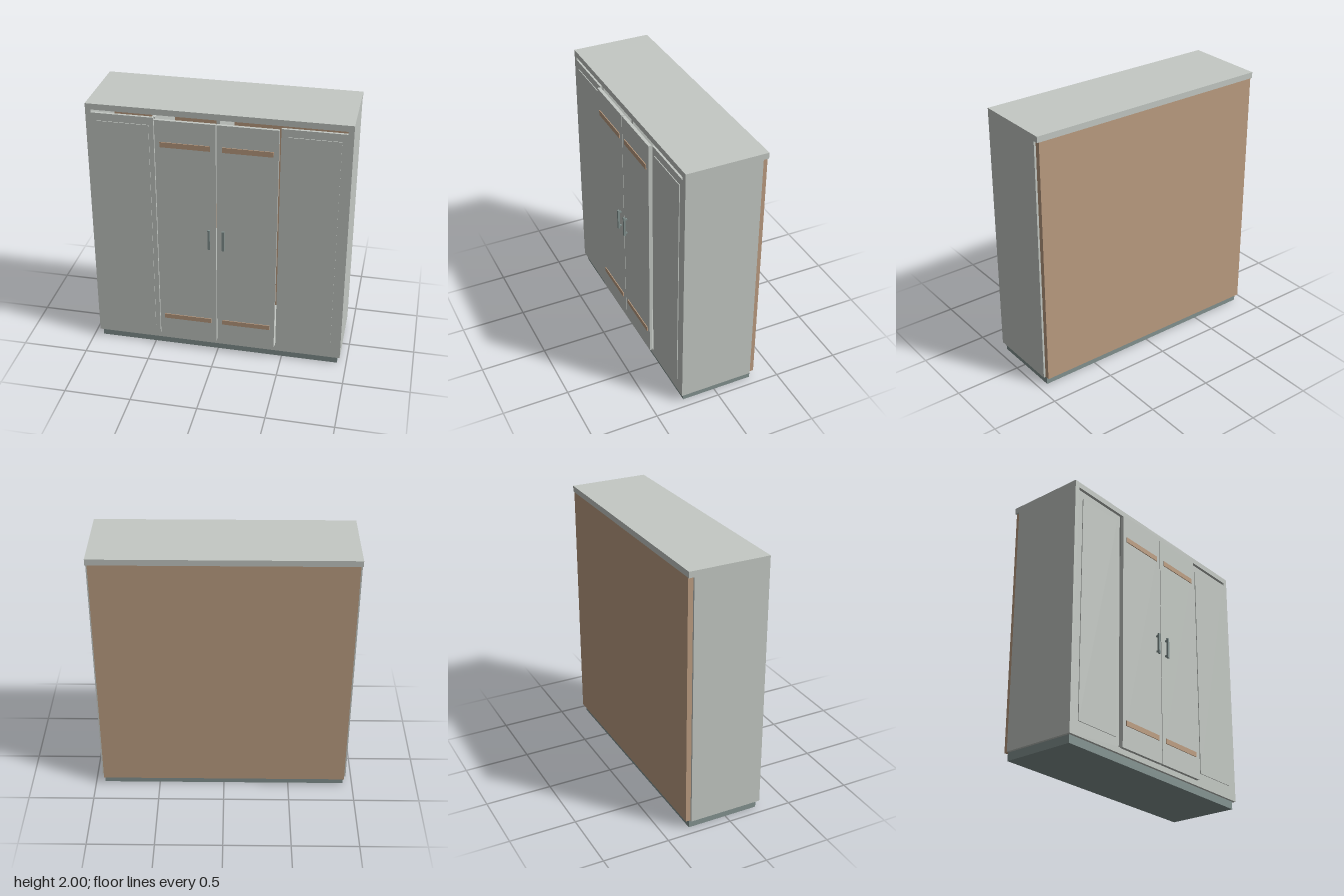
import * as THREE from 'three';

export function createModel() {
  const model = new THREE.Group();
  const mat = (name, color) => {
    const m = new THREE.MeshStandardMaterial({ color });
    m.name = name;
    return m;
  };
  const grey = mat('paleGrey', 0xc4c9c4);
  const teal = mat('slateTeal', 0x849391);
  const wood = mat('lightWood', 0xbd9e82);

  // Box given by its minimum and maximum corners
  const box = (name, material, x0, x1, y0, y1, z0, z1) => {
    const mesh = new THREE.Mesh(new THREE.BoxGeometry(x1 - x0, y1 - y0, z1 - z0), material);
    mesh.position.set((x0 + x1) / 2, (y0 + y1) / 2, (z0 + z1) / 2);
    mesh.name = name;
    model.add(mesh);
    return mesh;
  };

  // Carcass
  box('plinth', teal, -0.93, 0.93, 0, 0.06, -0.3, 0.255);
  box('floor', grey, -0.93, 0.93, 0.06, 0.09, -0.29, 0.255);
  box('top', grey, -0.95, 0.95, 1.955, 2, -0.33, 0.255);
  box('backPanel', wood, -0.935, 0.935, 0.062, 1.955, -0.328, -0.29);
  for (const s of [-1, 1]) {
    const x = s * 0.935;
    box(s > 0 ? 'leftSide' : 'rightSide', grey, x - 0.015, x + 0.015, 0.06, 1.955, -0.29, 0.255);
  }
  box('centreDivider', grey, -0.012, 0.012, 0.09, 1.93, -0.29, 0.22);
  box('rightDivider', grey, -0.47, -0.446, 0.09, 1.93, -0.29, 0.25);

  // Front frame: one opening for the doors, widening into a slot at the top
  const frame = new THREE.Shape();
  [[-0.95, 0.06], [0.95, 0.06], [0.95, 2], [-0.95, 2]]
    .forEach(([x, y], i) => (i ? frame.lineTo(x, y) : frame.moveTo(x, y)));
  const opening = new THREE.Path();
  [[-0.455, 0.105], [-0.455, 1.933], [-0.91, 1.933], [-0.91, 1.955],
    [0.91, 1.955], [0.91, 1.933], [0.452, 1.933], [0.452, 0.105]]
    .forEach(([x, y], i) => (i ? opening.lineTo(x, y) : opening.moveTo(x, y)));
  opening.closePath();
  frame.holes.push(opening);
  const front = new THREE.Mesh(
    new THREE.ExtrudeGeometry(frame, { depth: 0.02, bevelEnabled: false }), grey);
  front.position.z = 0.255;
  front.name = 'frontFrame';
  model.add(front);

  for (const s of [-1, 1]) {
    const side = s > 0 ? 'left' : 'right';
    const mirrored = (name, material, a, b, ...rest) =>
      box(side + name, material, Math.min(s * a, s * b), Math.max(s * a, s * b), ...rest);

    // Raised side panel
    mirrored('RaisedPanel', grey, 0.49, 0.872, 0.165, 1.875, 0.27, 0.281);

    // Door with two wooden strips
    mirrored('Door', grey, 0.003, 0.443, 0.1, 1.93, 0.276, 0.3);
    mirrored('UpperStrip', wood, 0.043, 0.407, 1.725, 1.765, 0.299, 0.306);
    mirrored('LowerStrip', wood, 0.043, 0.407, 0.265, 0.303, 0.299, 0.306);

    // Bar handle on two posts
    mirrored('Handle', teal, 0.044, 0.062, 0.937, 1.098, 0.316, 0.33);
    for (const y of [0.957, 1.08]) {
      mirrored('HandlePost', teal, 0.047, 0.059, y - 0.006, y + 0.006, 0.3, 0.318);
    }
  }
  return model;
}
